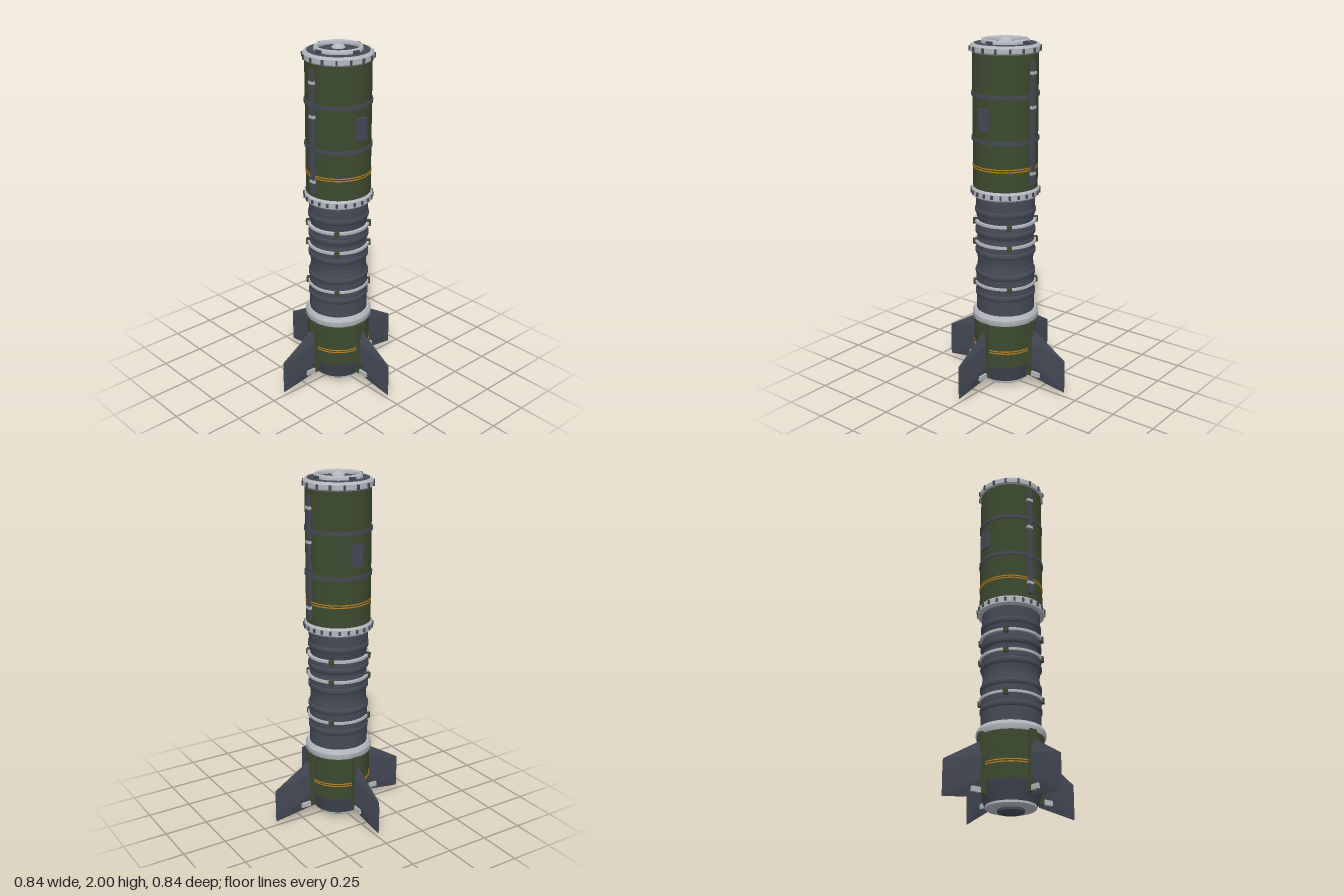
import * as THREE from 'three';
import { ConvexGeometry } from 'three/addons/geometries/ConvexGeometry.js';
import { toCreasedNormals } from 'three/addons/utils/BufferGeometryUtils.js';

const paint = (name, color) => Object.assign(new THREE.MeshStandardMaterial({ color }), { name });

export function createModel() {
  const green = paint('olive green', 0x3d4a30);
  const slate = paint('slate', 0x454a56);
  const silver = paint('light grey', 0xb4b8be);
  const amber = paint('amber', 0xc08218);
  const model = new THREE.Group();
  model.name = 'finnedCylinder';

  const add = (name, geometry, material, parent = model) => {
    const mesh = new THREE.Mesh(geometry, material);
    mesh.name = name;
    parent.add(mesh);
    return mesh;
  };
  // Turned part from [radius, height] pairs, bottom to top
  const turned = (name, profile, material, crease = 0.5) => {
    const geo = new THREE.LatheGeometry(profile.map(([r, y]) => new THREE.Vector2(r, y)), 64);
    return add(name, toCreasedNormals(geo, crease), material);
  };
  // Rectangular band around the axis
  const band = (name, r, y, h, material, inner = r - 0.03) =>
    turned(name, [[inner, y - h / 2], [r, y - h / 2], [r, y + h / 2], [inner, y + h / 2]], material);
  // Collar with chamfered edges
  const collar = (name, r, y0, y1, inner) => turned(name, [
    [inner, y0], [r - 0.008, y0], [r, y0 + 0.008], [r, y1 - 0.012], [r - 0.01, y1], [inner, y1],
  ], silver);
  // Box placed at a radius and turned around the axis
  const radialBox = (name, angle, r, y, [w, h, d], material) => {
    const mesh = add(name, new THREE.BoxGeometry(w, h, d), material);
    mesh.position.set(Math.sin(angle) * r, y, Math.cos(angle) * r);
    mesh.rotation.y = angle;
    return mesh;
  };
  const around = (n, make, start = 0) => {
    for (let i = 0; i < n; i++) make(start + (i / n) * Math.PI * 2);
  };

  // Tail section
  turned('nozzleCap', [[0, 0], [0.068, 0], [0.072, 0.004], [0.072, 0.025]], slate);
  turned('tailRing', [[0, 0.018], [0.13, 0.018], [0.137, 0.024], [0.137, 0.04], [0.12, 0.04]], silver);
  turned('tailCone', [[0.12, 0.036], [0.142, 0.036], [0.18, 0.14]], slate);
  turned('tailBody', [[0.18, 0.14], [0.18, 0.405]], green);
  turned('tailCollar', [
    [0.17, 0.4], [0.188, 0.4], [0.19, 0.405], [0.19, 0.432], [0.178, 0.453], [0.15, 0.453],
  ], silver);

  // Ribbed middle with shallow waists between the ribs
  const middle = [];
  const waists = [0.745, 0.89, 0.99];
  for (let i = 0; i <= 70; i++) {
    const y = 0.44 + (i / 70) * 0.7;
    const dip = waists.reduce((s, w, k) => s + Math.exp(-(((y - w) / (k ? 0.025 : 0.04)) ** 2)), 0);
    middle.push([0.166 - 0.008 * dip, y]);
  }
  turned('middleBody', middle, slate, 1);
  for (const y of [0.555, 0.68, 0.805, 0.925, 1.045]) {
    turned('middleRib', [
      [0.155, y - 0.02], [0.166, y - 0.017], [0.171, y - 0.01], [0.171, y + 0.01],
      [0.166, y + 0.017], [0.155, y + 0.02],
    ], slate, 0.8);
  }
  for (const y of [0.617, 0.862, 0.982]) {
    band('clampRing', 0.175, y, 0.014, silver);
    around(4, (a) => radialBox('clampBlock', a, 0.171, y - 0.004, [0.028, 0.03, 0.026], green), Math.PI / 4);
  }

  // Upper body
  turned('upperBody', [[0.18, 1.17], [0.18, 1.93]], green);
  collar('lowerCollar', 0.19, 1.13, 1.182, 0.15);
  collar('topCollar', 0.19, 1.922, 1.968, 0.165);
  around(24, (a) => radialBox('lowerBolt', a, 0.19, 1.156, [0.012, 0.022, 0.014], slate));
  around(16, (a) => radialBox('topBolt', a, 0.19, 1.942, [0.012, 0.026, 0.014], slate));
  for (const y of [1.455, 1.7]) band('bodyBand', 0.186, y, 0.02, slate);
  for (const y of [0.226, 0.239, 1.296, 1.309]) band('stripe', 0.1818, y, 0.006, amber, 0.179);

  // Access panels on front and back, cable runs on both sides
  for (const a of [0, Math.PI]) radialBox('accessPanel', a, 0.181, 1.578, [0.07, 0.118, 0.02], slate);
  for (const a of [Math.PI / 2, -Math.PI / 2]) {
    radialBox('cableRun', a, 0.185, 1.55, [0.026, 0.68, 0.016], slate);
    for (const y of [1.276, 1.64, 1.824]) radialBox('cableClip', a, 0.187, y, [0.036, 0.016, 0.018], silver);
  }

  // Top end: deck, raised ring, lugs and dome
  turned('topDeck', [[0.17, 1.966], [0.168, 1.97], [0, 1.97]], slate);
  turned('topRing', [
    [0.132, 1.968], [0.132, 1.982], [0.128, 1.99], [0.122, 1.993], [0.115, 1.99], [0.111, 1.982], [0.111, 1.968],
  ], silver, 0.9);
  around(4, (a) => radialBox('topLug', a, 0.139, 1.976, [0.034, 0.02, 0.016], slate));
  turned('domeBase', [[0.042, 1.968], [0.042, 1.978], [0.036, 1.978]], slate);
  const dome = add('dome', new THREE.SphereGeometry(0.038, 32, 12, 0, Math.PI * 2, 0, Math.PI / 2), silver);
  dome.scale.y = 0.66;
  dome.position.y = 1.975;

  // Four tapered fins with root rails and hinge plates
  const section = (r, y0, y1, t) => {
    const at = (k, z) => new THREE.Vector3(r, y0 + (y1 - y0) * k, z);
    return [at(0, 0.002), at(0, -0.002), at(1, 0.002), at(1, -0.002),
      at(0.3, t), at(0.3, -t), at(0.75, t), at(0.75, -t)];
  };
  const finGeo = new ConvexGeometry([...section(0.185, 0.058, 0.364, 0.019), ...section(0.422, 0.025, 0.22, 0.004)]);
  around(4, (a) => {
    const fin = new THREE.Group();
    fin.name = 'finAssembly';
    fin.rotation.y = a;
    add('fin', finGeo, slate, fin);
    add('finRail', new THREE.BoxGeometry(0.035, 0.335, 0.04), green, fin).position.set(0.187, 0.237, 0);
    add('finHinge', new THREE.BoxGeometry(0.056, 0.028, 0.046), silver, fin).position.set(0.232, 0.087, 0);
    model.add(fin);
  });
  return model;
}
